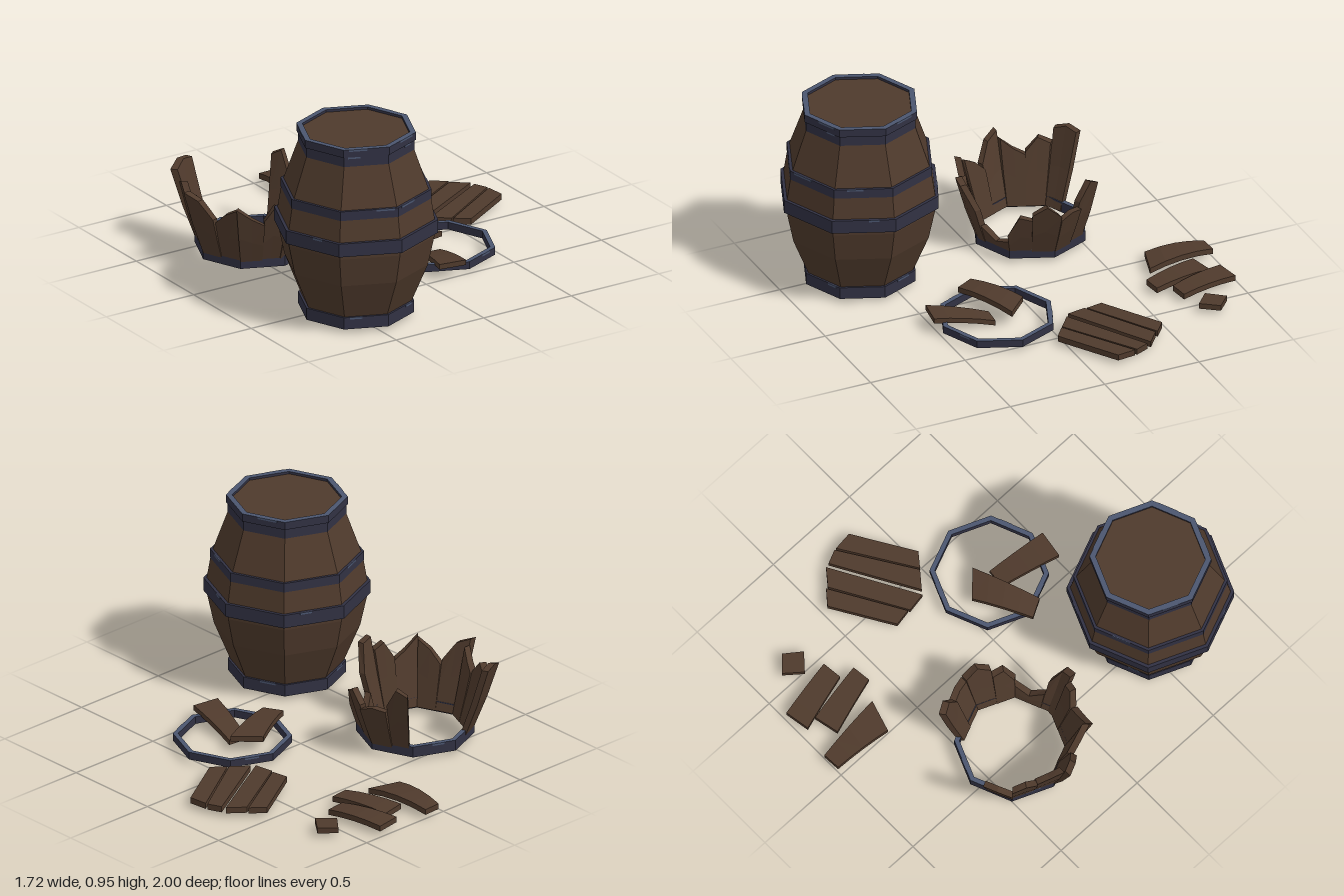
import * as THREE from 'three';

const mat = (name, color) => {
  const m = new THREE.MeshStandardMaterial({ color, flatShading: true });
  m.name = name;
  return m;
};
const wood = mat('brown wood', 0x4f3a2c);
const iron = mat('dark iron', 0x313143);
const worn = mat('worn iron', 0x4b5670);

function add(parent, name, geometry, material) {
  const mesh = new THREE.Mesh(geometry, material);
  mesh.name = name;
  parent.add(mesh);
  return mesh;
}

function group(parent, name, x, z) {
  const g = new THREE.Group();
  g.name = name;
  g.position.set(x, 0, z);
  parent.add(g);
  return g;
}

// Eight-sided turned shape; points run up the outside
const lathe = pts => new THREE.LatheGeometry(pts.map(p => new THREE.Vector2(...p)), 8);

// Solid through a row of equal cross-sections, capped at both ends
function loft(sections) {
  const tris = [], n = sections[0].length, last = sections.length - 1;
  const quad = (a, b, c, d) => tris.push([a, b, c], [a, c, d]);
  for (let i = 0; i < last; i++) for (let j = 0; j < n; j++) {
    const k = (j + 1) % n, s = sections[i], t = sections[i + 1];
    quad(s[j], s[k], t[k], t[j]);
  }
  for (let j = 0; j < n / 2 - 1; j++) {
    const s = sections[0], t = sections[last];
    quad(s[n - 1 - j], s[n - 2 - j], s[j + 1], s[j]);
    quad(t[j], t[j + 1], t[n - 2 - j], t[n - 1 - j]);
  }
  // Turn all faces outwards, judged by the signed volume
  let volume = 0;
  for (const [a, b, c] of tris) volume += a.dot(b.clone().cross(c));
  const pos = [];
  for (const t of tris) for (const v of volume < 0 ? [t[0], t[2], t[1]] : t) pos.push(v.x, v.y, v.z);
  const g = new THREE.BufferGeometry();
  g.setAttribute('position', new THREE.Float32BufferAttribute(pos, 3));
  g.computeVertexNormals();
  return g;
}

// Iron hoop with a top face of its own colour and some bare chips on its upper edge
function hoop(parent, name, r, inner, y0, y1, topMaterial, chips = []) {
  add(parent, name, lathe([[inner, y1], [inner, y0], [r, y0], [r, y1]]), iron);
  add(parent, name + 'Top', lathe([[r, y1], [inner, y1]]), topMaterial);
  for (const [side, shift, width] of chips) {
    const a = (side + 0.5) * Math.PI / 4, d = r * Math.cos(Math.PI / 8);
    const chip = add(parent, name + 'Chip', new THREE.BoxGeometry(width, 0.01, 0.004), worn);
    chip.position.set(Math.sin(a) * d + Math.cos(a) * shift, y1 - 0.005, Math.cos(a) * d - Math.sin(a) * shift);
    chip.rotation.y = a;
  }
}

// Plank between two ends, each [x, z, x, z] with a bottom height; it may arch
function plank(parent, name, endA, endB, yA, yB, arch = 0, thick = 0.03) {
  const sections = [], steps = arch ? 4 : 1;
  for (let i = 0; i <= steps; i++) {
    const t = i / steps;
    const [x0, z0, x1, z1] = endA.map((v, k) => THREE.MathUtils.lerp(v, endB[k], t));
    const y = THREE.MathUtils.lerp(yA, yB, t) + arch * 4 * t * (1 - t);
    sections.push([[x0, y, z0], [x1, y, z1], [x1, y + thick, z1], [x0, y + thick, z0]]
      .map(p => new THREE.Vector3(...p)));
  }
  add(parent, name, loft(sections), wood);
}

// Broken stave between two angles, with three heights along its jagged top
function stave(parent, a0, a1, heights, lean) {
  const sections = heights.map((h, i) => {
    const deg = a0 + (a1 - a0) * i / 2;
    const a = THREE.MathUtils.degToRad(deg);
    const off = THREE.MathUtils.degToRad(((deg % 45) + 45) % 45 - 22.5);
    const flat = Math.cos(Math.PI / 8) / Math.cos(off);
    const point = (t, inset) => {
      const y = 0.03 + (h - 0.03) * t;
      const r = (0.262 + 0.36 * y - 0.2 * y * y + lean * y - inset) * flat;
      return new THREE.Vector3(Math.sin(a) * r, y, Math.cos(a) * r);
    };
    return [point(0, 0), point(0.5, 0), point(1, 0), point(1, 0.035), point(0.5, 0.035), point(0, 0.03)];
  });
  add(parent, 'brokenStave', loft(sections), wood);
}

export function createModel() {
  const model = new THREE.Group();
  model.name = 'barrels';

  // Whole barrel: hollow foot, bulging body, sunken lid
  const barrel = group(model, 'wholeBarrel', -0.463, 0.595);
  add(barrel, 'barrelBody', lathe([
    [0, 0.08], [0.258, 0.08], [0.25, 0.025], [0.27, 0.025], [0.272, 0.08], [0.35, 0.27], [0.382, 0.42],
    [0.385, 0.5], [0.362, 0.64], [0.284, 0.86], [0.275, 0.937], [0, 0.937]]), wood);
  hoop(barrel, 'footHoop', 0.283, 0.25, 0.02, 0.08, iron, [[0, 0.06, 0.05], [7, -0.05, 0.06], [2, 0.02, 0.08], [4, 0.03, 0.06]]);
  hoop(barrel, 'bellyHoop', 0.4, 0.36, 0.44, 0.508, iron, [[1, 0.05, 0.05], [3, -0.04, 0.06], [6, 0.03, 0.05]]);
  hoop(barrel, 'shoulderHoop', 0.368, 0.34, 0.615, 0.662, iron, [[0, -0.06, 0.11], [7, 0.08, 0.09], [1, -0.04, 0.08], [4, 0, 0.09]]);
  hoop(barrel, 'neckHoop', 0.284, 0.262, 0.86, 0.91, iron, [[0, 0.05, 0.05], [7, -0.06, 0.06]]);
  hoop(barrel, 'rimHoop', 0.291, 0.262, 0.91, 0.95, worn, [[0, 0.03, 0.1], [7, -0.04, 0.09], [2, 0.02, 0.1], [5, 0, 0.08]]);

  // Broken barrel: foot hoop and a ring of splintered staves, open at the back
  const broken = group(model, 'brokenBarrel', -0.463, -0.305);
  hoop(broken, 'brokenFootHoop', 0.283, 0.258, 0.02, 0.075, worn, [[1, 0.03, 0.07], [3, 0.02, 0.06], [5, 0, 0.08]]);
  [
    [204, 226, [0.41, 0.42, 0.39], 0.08],
    [226, 248, [0.33, 0.36, 0.29], 0],
    [248, 270, [0.28, 0.31, 0.36], -0.03],
    [270, 292, [0.39, 0.36, 0.27], 0.06],
    [292, 315, [0.25, 0.31, 0.35], 0],
    [315, 337, [0.36, 0.3, 0.26], 0.04],
    [337, 355, [0.28, 0.36, 0.33], 0],
    [355, 372, [0.39, 0.37, 0.24], 0.05],
    [372, 405, [0.15, 0.09, 0.12], 0],
    [405, 427, [0.16, 0.27, 0.25], 0],
    [427, 450, [0.29, 0.34, 0.28], 0.05],
    [450, 472, [0.26, 0.28, 0.27], 0.08],
    [472, 491, [0.3, 0.4, 0.37], 0],
  ].forEach(s => stave(broken, ...s));

  // Loose hoop with two bent staves leaning on it
  const loose = group(model, 'looseHoop', 0.25, 0.21);
  hoop(loose, 'fallenHoop', 0.285, 0.26, 0.02, 0.058, worn, [[0, 0.03, 0.06], [3, 0, 0.07], [6, 0.02, 0.06]]);
  plank(model, 'fallenStave', [-0.069, 0.196, -0.02, 0.286], [0.2, 0.048, 0.312, 0.159], 0.055, 0.058, 0.014, 0.028);
  plank(model, 'fallenStave', [0.164, 0.212, 0.26, 0.222], [0.074, 0.503, 0.212, 0.524], 0, 0.06, 0.008, 0.026);

  // Fallen lid in four boards
  [
    [[0.36, -0.29, 0.375, -0.206], [0.656, -0.47, 0.725, -0.413]],
    [[0.37, -0.196, 0.386, -0.1], [0.725, -0.402, 0.804, -0.339]],
    [[0.407, -0.085, 0.487, -0.021], [0.81, -0.317, 0.84, -0.249]],
    [[0.492, -0.016, 0.56, 0.037], [0.841, -0.238, 0.852, -0.143]],
  ].forEach(([a, b]) => plank(model, 'lidBoard', a, b, 0.02, 0.02));

  // Scattered stave pieces
  [
    [[0.026, -0.995, 0.116, -1], [0, -0.693, 0.159, -0.645], 0.018],
    [[0.159, -0.873, 0.286, -0.9], [0.249, -0.582, 0.344, -0.593], 0.01],
    [[0.27, -0.963, 0.397, -0.984], [0.354, -0.672, 0.455, -0.683], 0.01],
    [[0.556, -0.862, 0.63, -0.794], [0.487, -0.778, 0.566, -0.709], 0],
  ].forEach(([a, b, arch]) => plank(model, 'stavePiece', a, b, 0.02, 0.02, arch, 0.028));

  return model;
}
